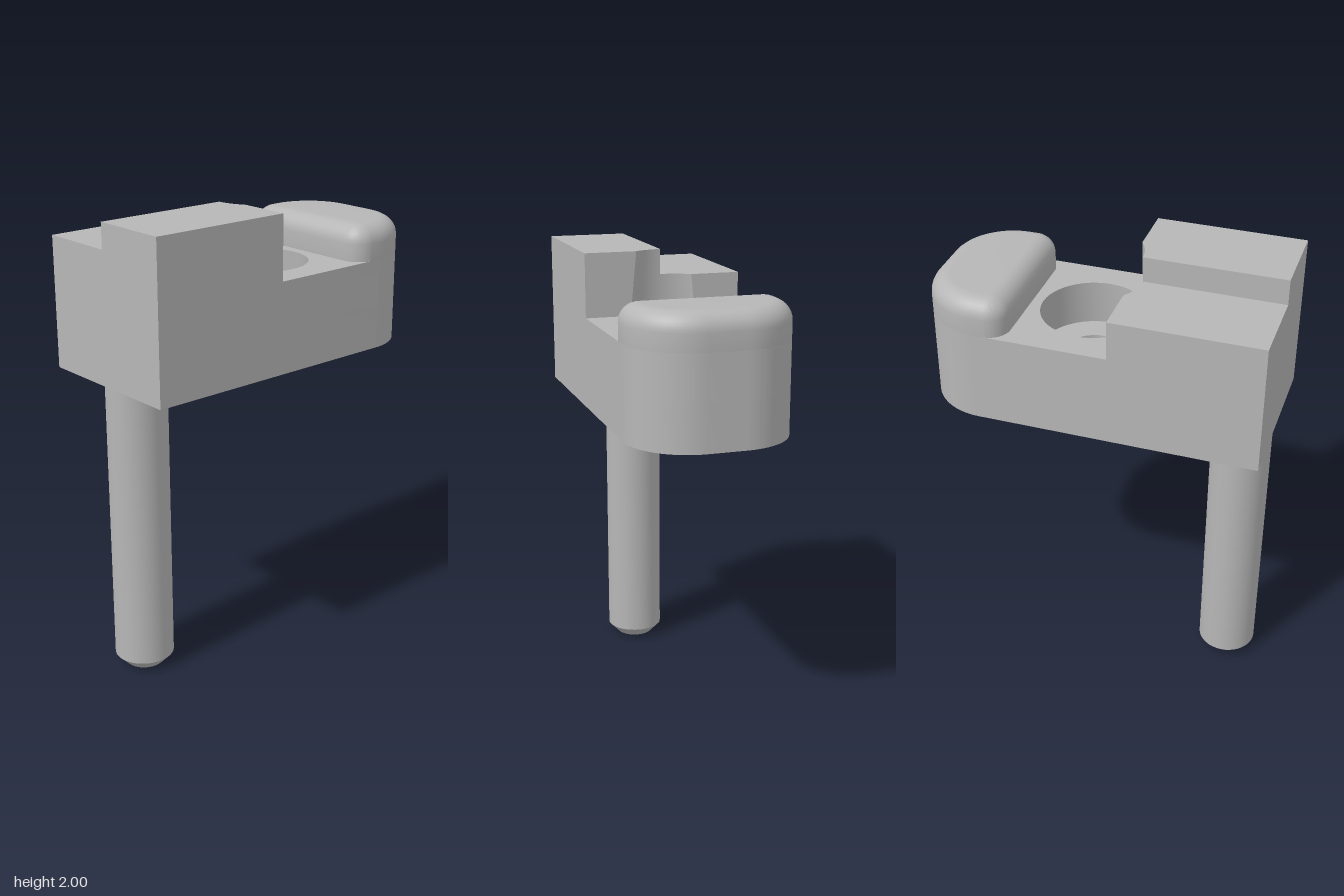
import * as THREE from 'three';
import { toCreasedNormals } from 'three/addons/utils/BufferGeometryUtils.js';

const HALF_W = 0.35, FRONT = 0.74, BACK = 0.74, STEP = 0.1;
const BOTTOM = 1.32, SEAT = 1.52, DECK = 1.72;
const HOLE_Z = -0.07, HOLE_R = 0.12, BORE_R = 0.225;

// radius of the slightly tapered bore at a given height
const boreRadius = (y) => BORE_R - (y - DECK) * 0.06;
const chord = (r) => Math.sqrt(r * r - (STEP - HOLE_Z) ** 2);

// plan outlines are drawn in (x, -z)
function plan(w, v0, v1, backR, frontR) {
  const s = new THREE.Shape();
  s.moveTo(-w + frontR, v0);
  s.lineTo(w - frontR, v0);
  if (frontR) s.absarc(w - frontR, v0 + frontR, frontR, -Math.PI / 2, 0);
  s.absarc(w - backR, v1 - backR, backR, 0, Math.PI / 2);
  s.absarc(-w + backR, v1 - backR, backR, Math.PI / 2, Math.PI);
  if (frontR) s.absarc(-w + frontR, v0 + frontR, frontR, Math.PI, Math.PI * 1.5);
  return s;
}

function circleHole(r) {
  return new THREE.Path().absarc(0, -HOLE_Z, r, 0, Math.PI * 2, true);
}

// extrude a plan outline upward from y0 to y1
function slab(shape, y0, y1, bevel = {}) {
  const g = new THREE.ExtrudeGeometry(shape, {
    depth: y1 - y0, curveSegments: 24, bevelEnabled: false, ...bevel });
  return g.rotateX(-Math.PI / 2).translate(0, y0, 0);
}

// move vertices lying on the bore with a rule(x, y, dz) -> [x, dz]
function taper(g, rule) {
  const p = g.attributes.position;
  for (let i = 0; i < p.count; i++) {
    const x = p.getX(i), y = p.getY(i), dz = p.getZ(i) - HOLE_Z;
    if (Math.hypot(x, dz) > BORE_R + 0.001) continue;
    const [nx, nz] = rule(x, y, dz);
    p.setXYZ(i, nx, y, nz + HOLE_Z);
  }
  return g;
}

export function createModel() {
  const model = new THREE.Group();
  model.name = 'clampBlock';
  const grey = new THREE.MeshStandardMaterial({ color: 0xb6b6b6 });
  grey.name = 'plain grey';
  const add = (name, g) => {
    const m = new THREE.Mesh(toCreasedNormals(g, 0.5), grey);
    m.name = name;
    model.add(m);
  };

  // base with through hole
  const base = plan(HALF_W, -FRONT, BACK, 0.27, 0);
  base.holes.push(circleHole(HOLE_R));
  add('base', slab(base, BOTTOM, SEAT));

  // deck with the wide tapered bore
  const deck = plan(HALF_W, -FRONT, BACK, 0.27, 0);
  deck.holes.push(circleHole(BORE_R));
  add('deck', taper(slab(deck, SEAT, DECK), (x, y, dz) => {
    const k = boreRadius(y) / BORE_R;
    return [x * k, dz * k];
  }));

  // two front blocks of different height, notched by the bore
  const hw = chord(BORE_R);
  for (const [name, side, top] of [['tallBlock', 1, 2], ['lowBlock', -1, 1.89]]) {
    const half = new THREE.Shape();
    half.absarc(0, -HOLE_Z, BORE_R, -Math.PI / 2, Math.atan2(HOLE_Z - STEP, hw));
    half.lineTo(HALF_W, -STEP);
    half.lineTo(HALF_W, -FRONT);
    half.lineTo(0, -FRONT);
    const pts = half.getPoints(12).map((p) => new THREE.Vector2(p.x * side, p.y));
    add(name, taper(slab(new THREE.Shape(pts), DECK, top), (x, y) => {
      const r = boreRadius(y), nx = x * chord(r) / hw;
      return [nx, Math.sqrt(r * r - nx * nx)];
    }));
  }

  // rounded rear lip; its lower bevel is sunk in the deck
  const f = 0.08;
  const lip = plan(HALF_W - f, 0.34 + f, BACK - f, 0.27 - f, 0.01);
  add('rearLip', slab(lip, DECK, 1.875 - f, {
    bevelEnabled: true, bevelSize: f, bevelThickness: f, bevelSegments: 8, curveSegments: 10 }));

  // pin with chamfered tip
  const pin = [[0, 0], [0.085, 0], [0.13, 0.047], [0.13, BOTTOM]]
    .map(([x, y]) => new THREE.Vector2(x, y));
  add('pin', new THREE.LatheGeometry(pin, 48).translate(0, 0, 0.595));

  return model;
}
